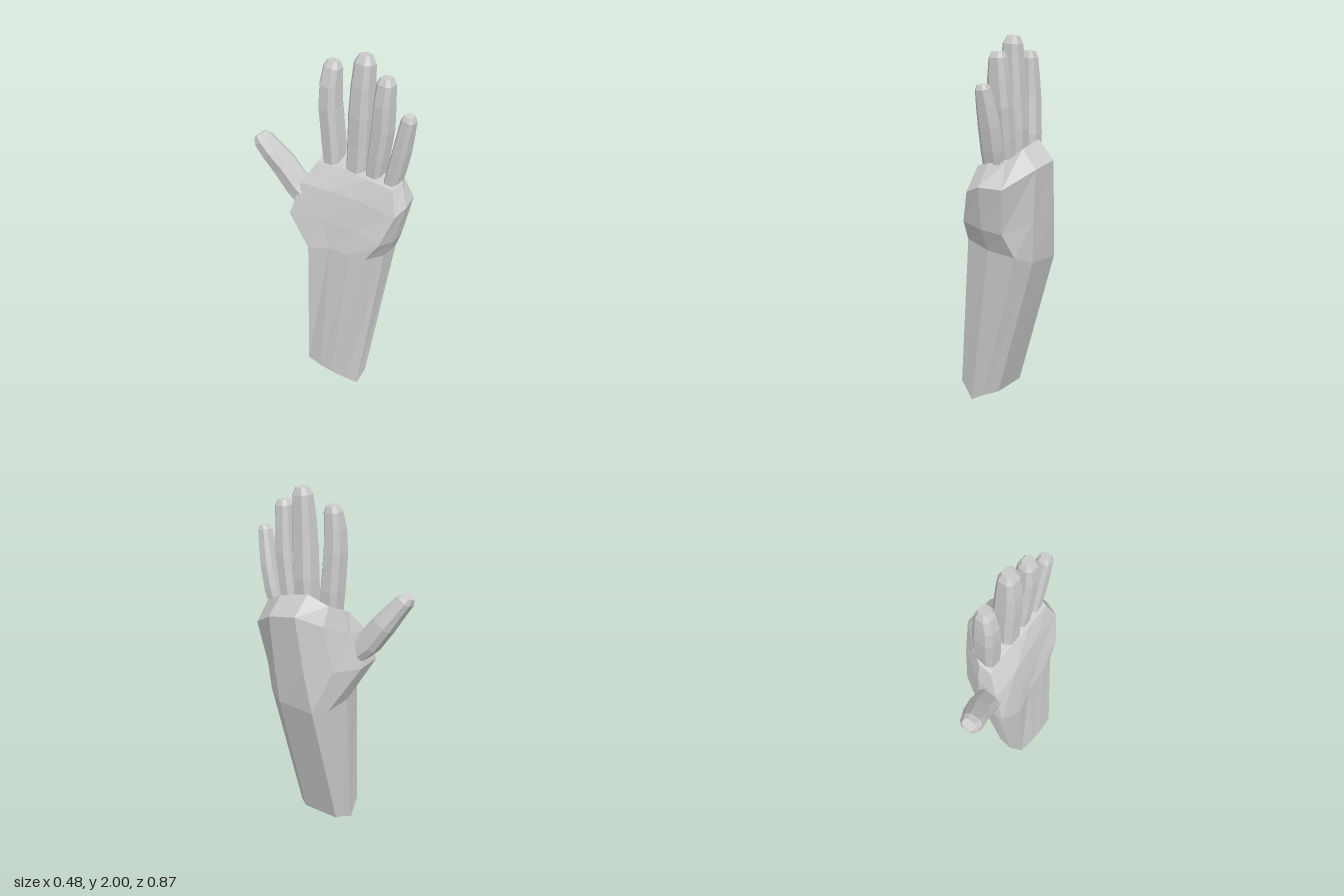
import * as THREE from 'three';

const skin = new THREE.MeshStandardMaterial({ color: 0xcccccc });
skin.name = 'plain grey';
skin.flatShading = true;

// Skin a stack of equal-sized rings (counter-clockwise about the way they run), closed at both ends.
function loft(name, rings, startCentre) {
  const n = rings[0].length;
  const pos = [];
  const tri = (...corners) => corners.forEach((c) => pos.push(...c));
  const centre = (ring) => [0, 1, 2].map((k) => ring.reduce((s, p) => s + p[k], 0) / n);
  const first = rings[0], last = rings[rings.length - 1];
  const c0 = startCentre || centre(first), c1 = centre(last);
  for (let i = 0; i < n; i++) {
    const j = (i + 1) % n;
    for (let r = 0; r < rings.length - 1; r++) {
      const lo = rings[r], hi = rings[r + 1];
      tri(lo[i], lo[j], hi[j]);
      tri(lo[i], hi[j], hi[i]);
    }
    tri(c0, first[j], first[i]);
    tri(c1, last[i], last[j]);
  }
  const geo = new THREE.BufferGeometry();
  geo.setAttribute('position', new THREE.Float32BufferAttribute(pos, 3));
  geo.computeVertexNormals();
  const mesh = new THREE.Mesh(geo, skin);
  mesh.name = name;
  return mesh;
}

// Finger: chamfered box sections along stations of [x, y, z, width, depth].
function finger(name, stations) {
  const centres = stations.map((s) => new THREE.Vector3(s[0], s[1], s[2]));
  const corners = [[1, -0.55], [1, 0.55], [0.55, 1], [-0.55, 1], [-1, 0.55], [-1, -0.55], [-0.55, -1], [0.55, -1]];
  const rings = stations.map(([, , , width, depth], i) => {
    const t = centres[Math.min(i + 1, centres.length - 1)].clone()
      .sub(centres[Math.max(i - 1, 0)]).normalize();
    const u = new THREE.Vector3(1, 0, 0).addScaledVector(t, -t.x).normalize();
    const v = t.clone().cross(u);
    return corners.map(([a, b]) => centres[i].clone()
      .addScaledVector(u, a * depth / 2).addScaledVector(v, b * width / 2).toArray());
  });
  return loft(name, rings);
}

export function createModel() {
  const group = new THREE.Group();
  group.name = 'hand';

  // Rings run: little-finger side, back of hand, index side, palm.
  const cut = [
    [-0.23, 0.10, 0.23], [-0.15, 0.01, 0.25], [-0.07, 0.055, 0.25], [-0.02, 0.06, 0.18], [-0.02, 0.06, -0.05],
    [-0.07, 0.055, -0.07], [-0.15, 0.01, -0.065], [-0.23, 0.10, -0.05], [-0.24, 0.10, 0.05], [-0.24, 0.10, 0.13],
  ];
  const wrist = [
    [-0.14, 0.94, 0.28], [0.00, 0.90, 0.305], [0.15, 0.87, 0.28], [0.20, 0.83, 0.18], [0.20, 0.82, -0.05],
    [0.12, 0.82, -0.10], [-0.04, 0.84, -0.11], [-0.20, 0.90, -0.06], [-0.165, 0.93, 0.06], [-0.155, 0.94, 0.19],
  ];
  const heel = [
    [-0.12, 1.05, 0.35], [0.00, 1.02, 0.365], [0.11, 1.00, 0.34], [0.215, 1.06, 0.20], [0.22, 1.06, -0.01],
    [0.12, 1.05, -0.13], [-0.03, 1.05, -0.21], [-0.185, 1.06, -0.20], [-0.15, 1.08, 0.00], [-0.12, 1.08, 0.19],
  ];
  const palm = [
    [-0.06, 1.22, 0.405], [0.02, 1.25, 0.42], [0.14, 1.24, 0.385], [0.235, 1.33, 0.21], [0.237, 1.36, 0.03],
    [0.15, 1.31, -0.09], [0.01, 1.25, -0.16], [-0.12, 1.24, -0.17], [-0.11, 1.25, 0.00], [-0.08, 1.25, 0.20],
  ];
  const knuckles = [
    [-0.02, 1.35, 0.36], [0.05, 1.37, 0.37], [0.12, 1.37, 0.32], [0.15, 1.43, 0.20], [0.14, 1.465, 0.02],
    [0.10, 1.41, -0.09], [0.03, 1.38, -0.125], [-0.04, 1.35, -0.12], [-0.03, 1.36, 0.00], [-0.03, 1.36, 0.20],
  ];
  group.add(loft('forearm', [cut, wrist], [-0.15, 0, 0.09]));
  group.add(loft('palm', [wrist, heel, palm, knuckles]));

  group.add(finger('indexFinger', [
    [0.03, 1.34, -0.055, 0.10, 0.12], [0.03, 1.48, -0.062, 0.11, 0.13], [0.02, 1.68, -0.073, 0.105, 0.13],
    [0.02, 1.80, -0.070, 0.10, 0.115], [0.03, 1.89, -0.064, 0.09, 0.085], [0.035, 1.923, -0.062, 0.06, 0.055],
  ]));
  group.add(finger('middleFinger', [
    [0.04, 1.36, 0.10, 0.115, 0.13], [0.045, 1.52, 0.105, 0.12, 0.135], [0.04, 1.68, 0.112, 0.12, 0.13],
    [0.04, 1.84, 0.118, 0.11, 0.115], [0.045, 1.96, 0.123, 0.10, 0.09], [0.05, 2.0, 0.124, 0.06, 0.055],
  ]));
  group.add(finger('ringFinger', [
    [0.045, 1.35, 0.205, 0.085, 0.11], [0.045, 1.48, 0.222, 0.095, 0.12], [0.045, 1.64, 0.242, 0.10, 0.12],
    [0.04, 1.78, 0.25, 0.095, 0.11], [0.04, 1.89, 0.256, 0.085, 0.085], [0.042, 1.92, 0.257, 0.055, 0.055],
  ]));
  group.add(finger('littleFinger', [
    [0.045, 1.32, 0.305, 0.075, 0.10], [0.05, 1.43, 0.332, 0.08, 0.11], [0.05, 1.55, 0.358, 0.08, 0.105],
    [0.045, 1.65, 0.378, 0.075, 0.09], [0.04, 1.74, 0.396, 0.07, 0.07], [0.04, 1.762, 0.40, 0.045, 0.05],
  ]));
  group.add(finger('thumb', [
    [-0.07, 1.11, -0.13, 0.13, 0.13], [-0.085, 1.19, -0.22, 0.13, 0.13], [-0.105, 1.30, -0.30, 0.12, 0.13],
    [-0.135, 1.38, -0.355, 0.10, 0.12], [-0.152, 1.44, -0.40, 0.085, 0.105], [-0.155, 1.466, -0.42, 0.05, 0.07],
  ]));
  return group;
}
